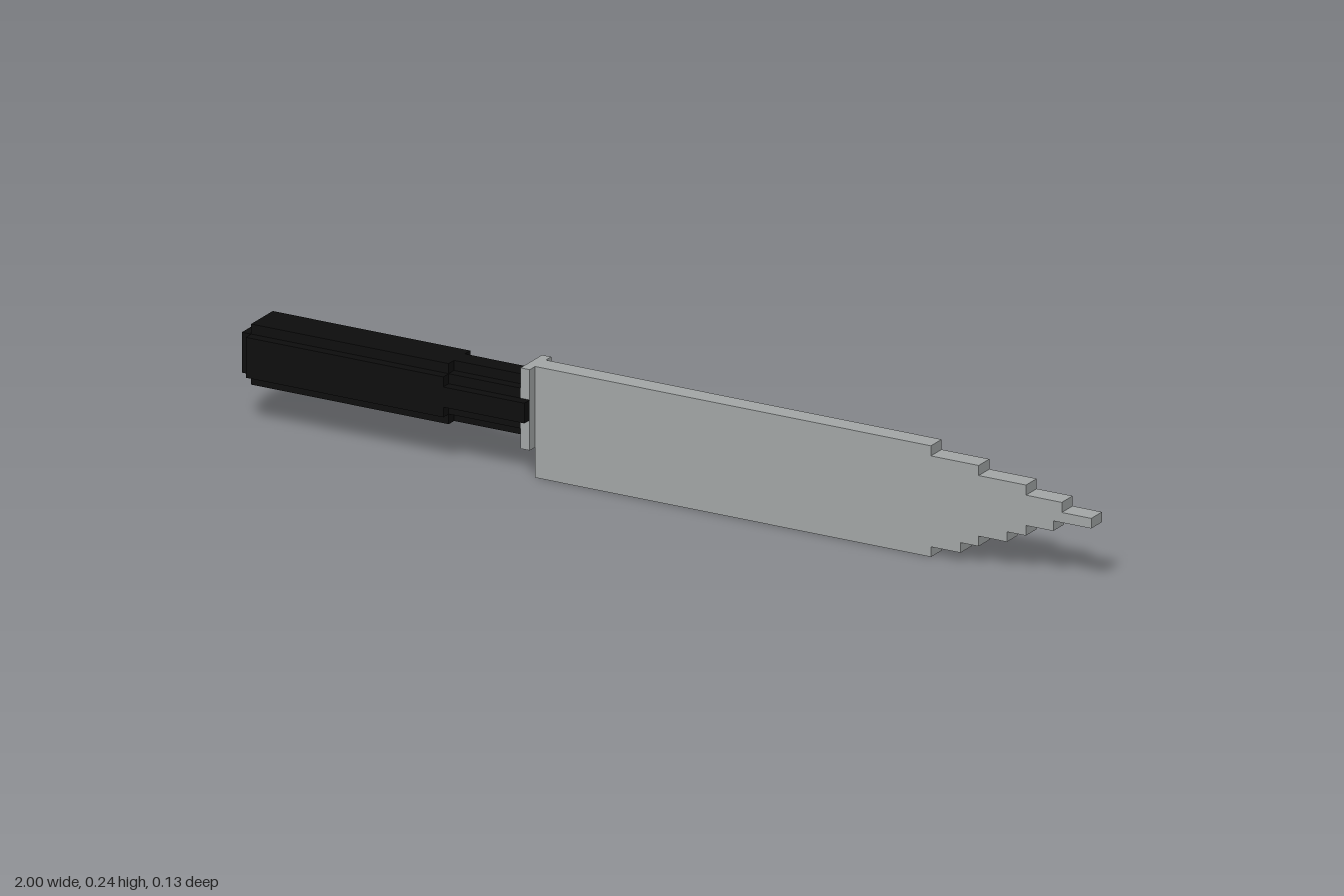
import * as THREE from 'three';

export function createModel() {
  const model = new THREE.Group();
  const steel = new THREE.MeshStandardMaterial({ color: 0xa3a7a7 });
  steel.name = 'steel';
  const black = new THREE.MeshStandardMaterial({ color: 0x0d0d0d });
  black.name = 'black grip';
  const V = 0.0221; // one step of the stepped outline

  // Prism with a stepped outline, extruded about its own middle
  function prism(name, points, depth, material) {
    const shape = new THREE.Shape(points.map(([a, b]) => new THREE.Vector2(a, b)));
    const geometry = new THREE.ExtrudeGeometry(shape, { depth, bevelEnabled: false });
    geometry.translate(0, 0, -depth / 2);
    const mesh = new THREE.Mesh(geometry, material);
    mesh.name = name;
    model.add(mesh);
    return mesh;
  }

  function box(name, x0, x1, y0, y1, z0, z1, material) {
    const mesh = new THREE.Mesh(new THREE.BoxGeometry(x1 - x0, y1 - y0, z1 - z0), material);
    mesh.position.set((x0 + x1) / 2, (y0 + y1) / 2, (z0 + z1) / 2);
    mesh.name = name;
    model.add(mesh);
  }

  // Blade: stairs climb along the belly and descend along the spine to the tip
  const belly = [0.62, 0.69, 0.733, 0.80, 0.845, 0.91];
  const spine = [1, 0.93, 0.845, 0.733, 0.62];
  const outline = [[-0.318, 0]];
  belly.forEach((x, i) => outline.push([x, i * V], [x, (i + 1) * V]));
  spine.forEach((x, i) => outline.push([x, (i + 6) * V], [x, (i + 7) * V]));
  // The tip rises one step from the belly, so its lower corner is already in place
  outline.push([-0.318, 11 * V]);
  prism('blade', outline, 2 * V, steel);

  // Bolster between blade and handle
  box('bolster', -0.34, -0.318, 3 * V, 11 * V, -2 * V, 2 * V, steel);

  // Handle section: stepped round profile, half widths w at half heights h
  const midY = 7 * V;
  function handleSection(name, x0, x1, steps) {
    const quarter = [];
    steps.forEach(([w, h], i) => {
      quarter.push([w, h]);
      if (i < steps.length - 1) quarter.push([steps[i + 1][0], h]);
    });
    const flipped = [...quarter].reverse();
    const points = [
      ...quarter,
      ...flipped.map(([w, h]) => [-w, h]),
      ...quarter.map(([w, h]) => [-w, -h]),
      ...flipped.map(([w, h]) => [w, -h]),
    ].map(([w, h]) => [w * V, h * V]);
    const mesh = prism(name, points, x1 - x0, black);
    mesh.rotation.y = Math.PI / 2;
    mesh.position.set((x0 + x1) / 2, midY, 0);
  }
  handleSection('grip', -0.978, -0.51, [[3, 2], [2, 3]]);
  handleSection('neck', -0.51, -0.34, [[3, 1], [2, 2], [1, 3]]);
  box('pommel', -1, -0.978, 5 * V, 9 * V, -2 * V, 2 * V, black);

  // Small lugs running past the bolster on both sides
  for (const s of [-1, 1]) {
    const z = s * 2.5 * V;
    box('sideLug', -0.34, -0.318, 6 * V, 8 * V, z - V / 2, z + V / 2, black);
  }
  return model;
}
